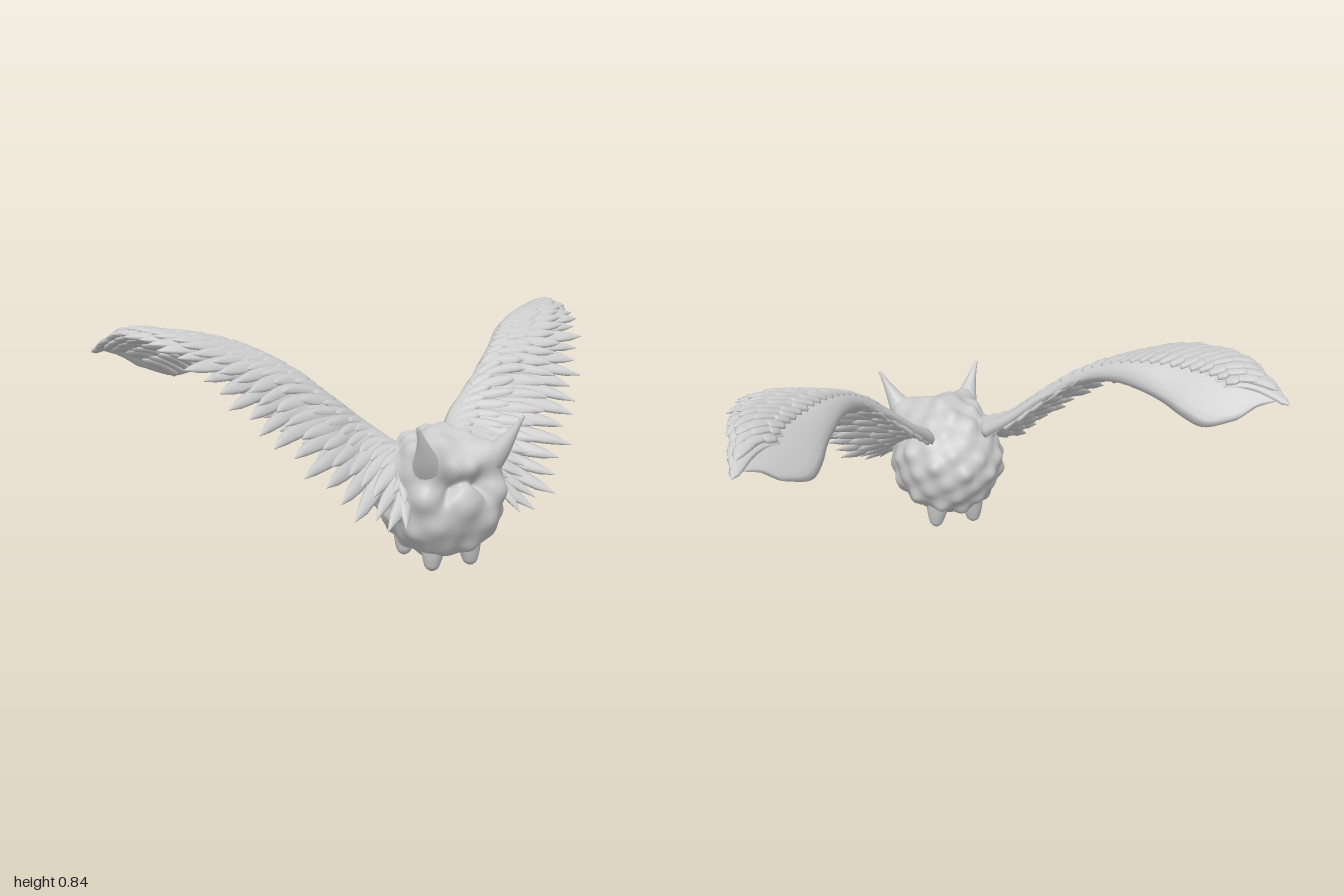
import * as THREE from 'three';
import { mergeGeometries, mergeVertices } from 'three/addons/utils/BufferGeometryUtils.js';

const V = (x, y, z) => new THREE.Vector3(x, y, z);
const material = new THREE.MeshStandardMaterial({ color: 0xcccccc, roughness: 0.8 });

// Closed skin over a list of equal-length rings, always wound outward.
function loft(rings, mirror) {
  const n = rings[0].length, m = rings.length, pts = rings.flat();
  const mid = (r) => r.reduce((a, p) => a.add(p), V(0, 0, 0)).divideScalar(n);
  pts.push(mid(rings[0]), mid(rings[m - 1]));
  const idx = [];
  for (let j = 0; j < n; j++) {
    const k = (j + 1) % n;
    for (let i = 0; i < m - 1; i++) {
      const a = i * n + j, b = i * n + k, c = a + n, d = b + n;
      idx.push(a, b, c, b, d, c);
    }
    idx.push(m * n, k, j, m * n + 1, (m - 1) * n + j, (m - 1) * n + k);
  }
  const p = pts.map((q) => V(mirror ? -q.x : q.x, q.y, q.z));
  let volume = 0;
  for (let i = 0; i < idx.length; i += 3)
    volume += p[idx[i]].clone().sub(p[0]).dot(p[idx[i + 1]].clone().sub(p[0]).cross(p[idx[i + 2]].clone().sub(p[0])));
  if (volume < 0) for (let i = 0; i < idx.length; i += 3) [idx[i], idx[i + 1]] = [idx[i + 1], idx[i]];
  const g = new THREE.BufferGeometry().setFromPoints(p);
  g.setIndex(idx);
  g.computeVertexNormals();
  return g;
}

// Tapered round limb along a path.
function limb(path, radius, mirror) {
  const curve = new THREE.CatmullRomCurve3(path), rings = [];
  for (let i = 0; i <= 16; i++) {
    const v = i / 16, c = curve.getPoint(v), d = curve.getTangent(v);
    const a = V(0, 0, 1).cross(d).normalize(), b = d.clone().cross(a), ring = [];
    for (let j = 0; j < 16; j++) {
      const w = (j / 16) * Math.PI * 2;
      ring.push(c.clone().addScaledVector(a, Math.cos(w) * radius(v)).addScaledVector(b, Math.sin(w) * radius(v)));
    }
    rings.push(ring);
  }
  return loft(rings, mirror);
}

// Wing sheet: inner lip, raised ridge and feather tips, from root to wing tip.
const curveOf = (list) => new THREE.CatmullRomCurve3(list.map((p) => V(...p)));
const lip = curveOf([[.10, .38, .18], [.19, .47, .10], [.30, .56, .06], [.40, .63, .02], [.47, .665, -.05], [.53, .685, -.14],
  [.58, .68, -.23], [.63, .66, -.32], [.67, .63, -.41], [.72, .61, -.475], [.84, .65, -.535]]);
const ridge = curveOf([[.12, .41, .26], [.21, .48, .15], [.30, .565, .09], [.41, .665, .01], [.49, .72, -.06], [.56, .75, -.14],
  [.63, .76, -.22], [.70, .75, -.30], [.76, .735, -.38], [.81, .705, -.46], [.89, .685, -.54]]);
const tips = curveOf([[.23, .20, .54], [.37, .23, .50], [.49, .35, .42], [.60, .465, .31], [.69, .57, .20], [.78, .68, .08],
  [.87, .765, -.06], [.93, .80, -.22], [.97, .803, -.36], [.985, .765, -.47], [1.0, .705, -.595]]);

function wingPoint(t, s) {
  const u = THREE.MathUtils.clamp(t / 10, 0, 1), k = 0.3;
  return lip.getPoint(u).multiplyScalar((s - k) * (s - 1) / k)
    .addScaledVector(ridge.getPoint(u), s * (s - 1) / (k * (k - 1)))
    .addScaledVector(tips.getPoint(u), s * (s - k) / (1 - k));
}

function wingFrame(t, s) {
  const tt = THREE.MathUtils.clamp(t, 0.05, 9.95);
  const along = wingPoint(tt + .04, s).sub(wingPoint(tt - .04, s)).normalize();
  const out = wingPoint(tt, s + .02).sub(wingPoint(tt, s - .02)).normalize();
  return { p: wingPoint(t, s), normal: out.cross(along).normalize() };
}

// One leaf-shaped feather lying on the sheet, swept toward the wing tip.
function feather(t, s0, s1, half, lift, mirror) {
  const rings = [], steps = 9, sweep = 2.5 * (s1 - s0);
  for (let i = 0; i <= steps; i++) {
    const v = i / steps, f = wingFrame(t + sweep * v, s0 + (s1 - s0) * v);
    const before = wingPoint(t + sweep * (v - .05), s0 + (s1 - s0) * (v - .05));
    const after = wingPoint(t + sweep * (v + .05), s0 + (s1 - s0) * (v + .05));
    const dir = after.sub(before).normalize(), roll = 0.22;
    const flat = f.normal.clone().cross(dir).normalize();
    const side = flat.clone().multiplyScalar(Math.cos(roll)).addScaledVector(f.normal, Math.sin(roll));
    const up = dir.clone().cross(side).normalize();
    const w = half * Math.max(.04, Math.pow(1 - v ** 3.5, .7) * (.6 + .5 * v));
    const centre = f.p.addScaledVector(f.normal, lift * (.5 + .6 * v)), ring = [];
    for (let j = 0; j < 8; j++) {
      const a = (j / 8) * Math.PI * 2;
      ring.push(centre.clone().addScaledVector(side, Math.cos(a) * w).addScaledVector(up, Math.sin(a) * Math.min(w, .011)));
    }
    rings.push(ring);
  }
  return loft(rings, mirror);
}

// Row of feathers from root to tip; inset pushes their bases outward toward the wing tip.
function featherRow(count, s0, s1, half, lift, inset, mirror) {
  const list = [];
  for (let i = 0; i < count; i++) {
    const t = -1.5 + (i / (count - 1)) * 10.1;
    const jitter = .025 * Math.sin(i * 2.4) - .02, shift = inset * Math.max(0, t / 9);
    list.push(feather(t, s0 + shift, s1 + jitter + shift * .3, half * (.9 + .2 * Math.sin(i * 1.7) ** 2), lift, mirror));
  }
  return mergeGeometries(list);
}

function wingMembrane(mirror) {
  const rings = [], n = 14;
  for (let i = 0; i <= 50; i++) {
    const t = (i / 50) * 9.9, ring = [];
    for (const face of [1, -1]) for (let j = 0; j < n; j++) {
      const v = face > 0 ? j / n : 1 - j / n, f = wingFrame(t, .8 * v);
      const thick = .02 * Math.pow(Math.max(0, Math.sin(Math.PI * Math.sqrt(v))), .6) * (1 - .5 * i / 50);
      ring.push(f.p.addScaledVector(f.normal, face * thick));
    }
    rings.push(ring);
  }
  return loft(rings, mirror);
}

// Lumpy round body with a flattened face.
function bodyGeometry() {
  const ico = new THREE.IcosahedronGeometry(1, 34);
  ico.deleteAttribute('uv');
  ico.deleteAttribute('normal');
  const g = mergeVertices(ico, 1e-5);
  const lumps = [];
  for (let i = 0; i < 80; i++) {
    const y = 1 - (2 * i + 1) / 80, r = Math.sqrt(1 - y * y), a = i * 2.39996;
    lumps.push([V(r * Math.cos(a), y, r * Math.sin(a)), .018 + .008 * Math.sin(i * 3.7), .16]);
  }
  // Face: direction, height and spread; sided ones are mirrored.
  const face = [[V(0, -.02, 1), .028, .26], [V(0, -.6, .8), -.008, .2], [V(0, 1, .15), .03, .28], [V(0, .8, .6), .01, .2]];
  for (const s of [-1, 1]) face.push(
    [V(s * .3, .34, .88), -.035, .15], [V(s * .14, .55, .85), .015, .14], [V(s * .52, .68, .7), .05, .22],
    [V(s * .6, .1, .75), .03, .2], [V(s * .45, -.3, .85), .015, .18], [V(s * .32, .85, .4), .02, .2], [V(s * .2, -.75, .65), .015, .16]);
  face.forEach((f) => f[0].normalize());
  const pos = g.attributes.position, d = V(0, 0, 0), nose = face[0][0];
  for (let i = 0; i < pos.count; i++) {
    d.fromBufferAttribute(pos, i).normalize();
    const q = d.z > 0 ? 2 + 1.3 * d.z : 2;
    const round = Math.pow(Math.abs(d.x) ** q + Math.abs(d.y) ** q + Math.abs(d.z) ** q, -1 / q);
    const front = THREE.MathUtils.smoothstep(d.z, .5, .85);
    // Arched crease over the muzzle
    const arch = d.distanceTo(nose) - .4;
    let h = -.024 * Math.exp(-arch * arch / .006) * THREE.MathUtils.smoothstep(d.y, -.1, .2) * front;
    for (const [c, height, spread] of lumps) h += (1 - front) * height * Math.exp(-d.distanceToSquared(c) / (spread * spread));
    for (const [c, height, spread] of face) h += height * Math.exp(-d.distanceToSquared(c) / (spread * spread));
    pos.setXYZ(i, d.x * (.21 * round + h), .26 + d.y * (.215 * round + h), .325 + d.z * (.232 * round + h));
  }
  g.computeVertexNormals();
  return g;
}

export function createModel() {
  const model = new THREE.Group();
  const add = (name, geometry, parent = model) => {
    const mesh = new THREE.Mesh(geometry, material);
    mesh.name = name;
    parent.add(mesh);
  };
  add('body', bodyGeometry());

  for (const mirror of [false, true]) {
    const side = mirror ? 'right' : 'left';
    // Horn curving up and outward from the brow
    add(side + 'Horn', limb([V(.11, .37, .475), V(.148, .435, .525), V(.178, .495, .558), V(.21, .562, .583)],
      (v) => .06 * Math.pow(1 - v, 1.3) + .006, mirror));
    // Stubby feet
    for (const [name, z] of [['FrontFoot', .45], ['BackFoot', .235]])
      add(side + name, limb([V(.07, .12, z), V(.077, .05, z), V(.08, 0, z)],
        (v) => (.052 - .03 * v) * Math.sqrt(1 - Math.max(0, (v - .8) / .2) ** 2 * .8), mirror));
    // Wing with flight feathers and overlapping coverts on both faces
    const wing = new THREE.Group();
    wing.name = side + 'Wing';
    model.add(wing);
    add('membrane', wingMembrane(mirror), wing);
    add('flightFeathers', featherRow(27, .4, 1.02, .04, 0, 0, mirror), wing);
    add('upperLongCoverts', featherRow(28, .42, .88, .034, .012, .1, mirror), wing);
    add('upperMiddleCoverts', featherRow(30, .3, .7, .03, .015, .2, mirror), wing);
    add('upperShortCoverts', featherRow(30, .2, .5, .028, .015, .25, mirror), wing);
    add('lowerLongCoverts', featherRow(24, .48, .9, .042, -.014, 0, mirror), wing);
    add('lowerMiddleCoverts', featherRow(24, .32, .74, .041, -.018, 0, mirror), wing);
    add('lowerShortCoverts', featherRow(24, .17, .54, .038, -.02, 0, mirror), wing);
    add('lowerEdgeCoverts', featherRow(24, .03, .34, .034, -.02, 0, mirror), wing);
  }
  return model;
}
